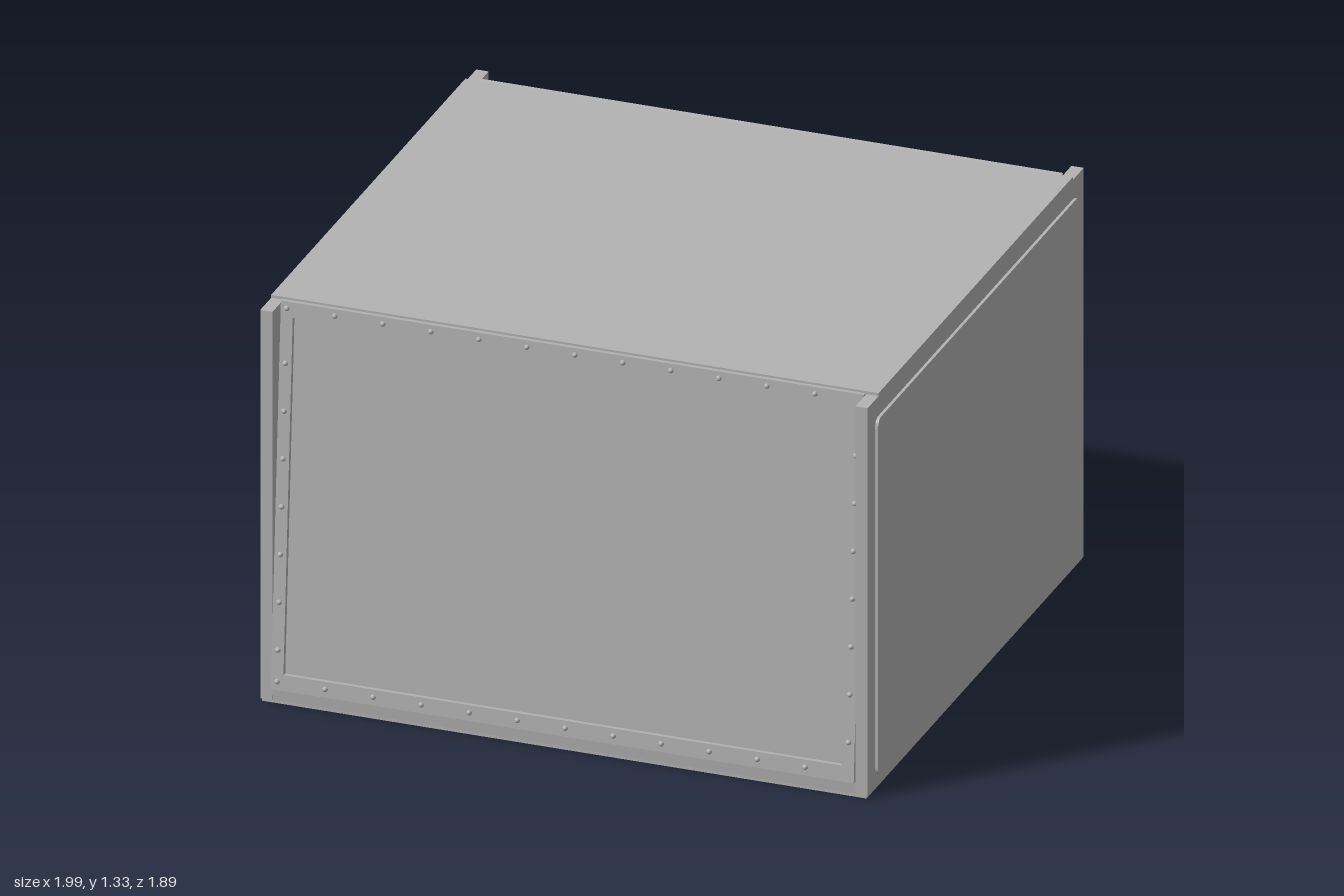
import * as THREE from 'three';

export function createModel() {
  const model = new THREE.Group();
  const metal = new THREE.MeshStandardMaterial({ color: 0xb3b3b3 });
  metal.name = 'grey metal';

  const add = (parent, name, geometry, x = 0, y = 0, z = 0) => {
    const mesh = new THREE.Mesh(geometry, metal);
    mesh.name = name;
    mesh.position.set(x, y, z);
    parent.add(mesh);
    return mesh;
  };
  const box = (name, w, h, d, x, y, z) =>
    add(model, name, new THREE.BoxGeometry(w, h, d), x, y, z);
  const trace = (target, points) => {
    points.forEach(([x, y], i) => (i ? target.lineTo(x, y) : target.moveTo(x, y)));
    target.closePath();
    return target;
  };
  const extrude = (shape, depth) =>
    new THREE.ExtrudeGeometry(shape, { depth, bevelEnabled: false, curveSegments: 6 });

  const cx = -0.005; // the raised plate sits on the left side only

  // Inner body with sloping ends, seen through the frame openings
  const profile = trace(new THREE.Shape(), [
    [-0.92, 0.01], [0.92, 0.01], [0.923, 0.05], [0.838, 1.305], [-0.838, 1.305], [-0.923, 0.05],
  ]);
  const core = extrude(profile, 1.9);
  core.translate(0, 0, -0.95);
  core.rotateY(Math.PI / 2);
  add(model, 'innerBody', core, cx);

  // Base, lid and thick side walls
  box('base', 1.97, 0.012, 1.84, cx, 0.006, 0);
  box('lid', 1.98, 0.012, 1.66, cx, 1.319, 0);
  for (const s of [-1, 1]) {
    box('sideWall', 0.04, 1.307, 1.846, cx + s * 0.97, 0.6615, 0);
  }

  // Raised plate with rounded corners on the left wall
  const plate = new THREE.Shape();
  const hw = 0.86, y0 = 0.05, y1 = 1.25, r = 0.03;
  plate.moveTo(-hw + r, y0);
  plate.lineTo(hw - r, y0);
  plate.quadraticCurveTo(hw, y0, hw, y0 + r);
  plate.lineTo(hw, y1 - r);
  plate.quadraticCurveTo(hw, y1, hw - r, y1);
  plate.lineTo(-hw + r, y1);
  plate.quadraticCurveTo(-hw, y1, -hw, y1 - r);
  plate.lineTo(-hw, y0 + r);
  plate.quadraticCurveTo(-hw, y0, -hw + r, y0);
  const plateGeometry = extrude(plate, 0.01);
  plateGeometry.rotateY(Math.PI / 2);
  add(model, 'sidePlate', plateGeometry, 0.985);

  // Sloping riveted frames at the front and back
  const height = 1.272;
  const frameShape = trace(new THREE.Shape(), [[-0.95, 0], [0.95, 0], [0.95, height], [-0.95, height]]);
  frameShape.holes.push(trace(new THREE.Path(), [
    [-0.91, 0.052], [-0.91, 1.222], [0.91, 1.222], [0.91, 0.052],
  ]));
  const frameGeometry = extrude(frameShape, 0.016);
  const rivetGeometry = new THREE.SphereGeometry(0.009, 10, 6, 0, Math.PI * 2, 0, Math.PI / 2);
  rivetGeometry.rotateX(Math.PI / 2);

  for (const s of [1, -1]) {
    const end = new THREE.Group();
    end.name = s > 0 ? 'frontEnd' : 'backEnd';
    end.position.x = cx;
    end.rotation.y = s > 0 ? 0 : Math.PI;
    model.add(end);
    const frame = new THREE.Group();
    frame.name = 'rivetedFrame';
    frame.position.set(0, 0.052, 0.922);
    frame.rotation.x = -Math.atan(0.085 / 1.255);
    end.add(frame);
    add(frame, 'frame', frameGeometry);
    const rivet = (x, y) => add(frame, 'rivet', rivetGeometry, s * x, y, 0.016);
    for (let i = 0; i < 12; i++) {
      rivet(-0.93 + i * 0.1565, 0.028);
      rivet(-0.93 + i * 0.1565, 1.25);
    }
    for (let i = 0; i < 7; i++) {
      rivet(-0.93, 0.131 + i * 0.1565);
      rivet(0.93, 0.131 + i * 0.1565);
    }
  }
  return model;
}
